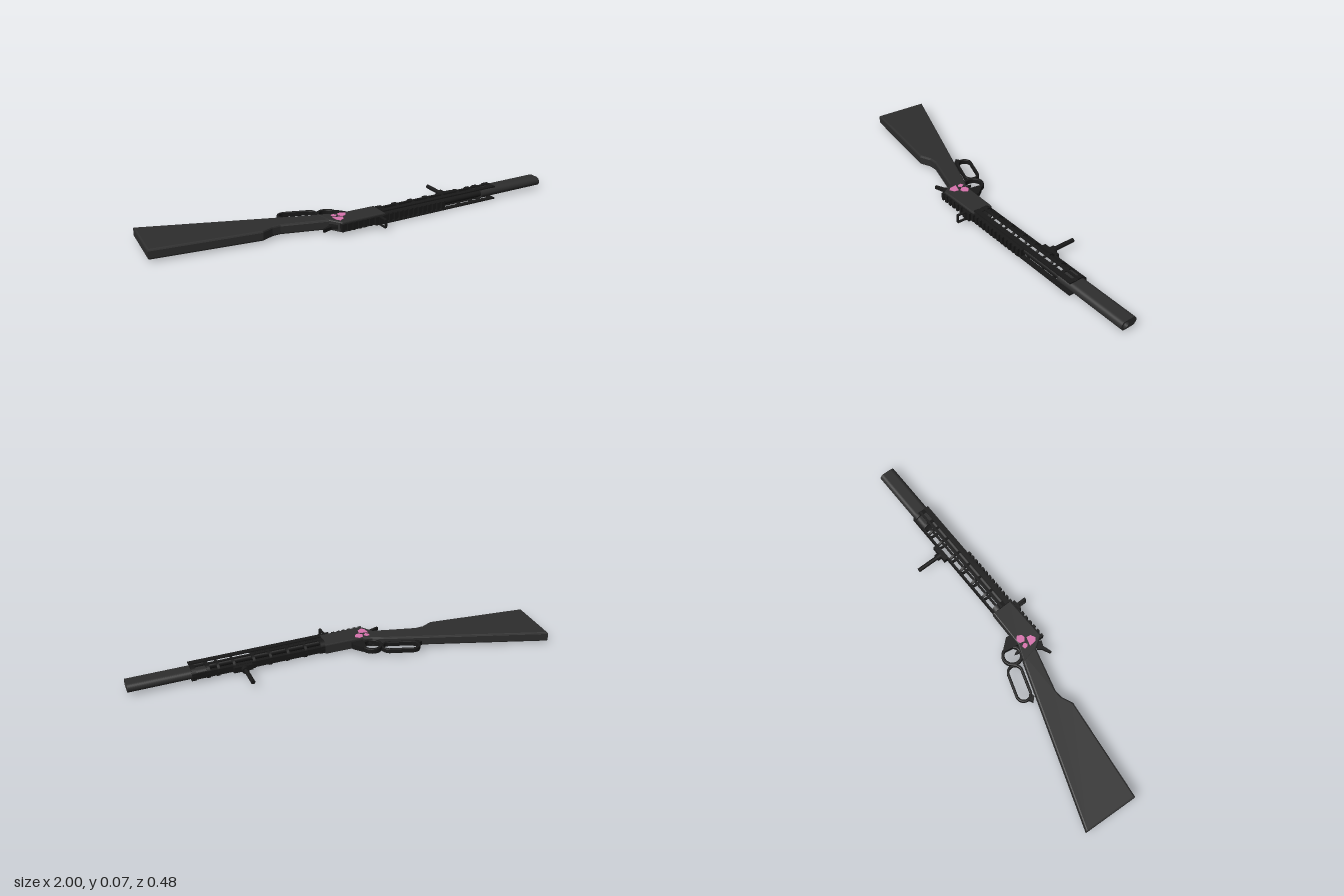
import * as THREE from 'three';

const mat = (name, color, side = THREE.FrontSide) => {
  const m = new THREE.MeshStandardMaterial({ color, side });
  m.name = name;
  return m;
};
const MID = 0.0335; // height of the centre plane of the rifle lying on its side

export function createModel() {
  const root = new THREE.Group();
  root.name = 'leverRifle';
  const charcoal = mat('charcoal', 0x2e2e2e);
  const black = mat('black', 0x191919);
  const pink = mat('pink', 0xd873ae);

  const add = (name, geo, material, parent = root) => {
    const m = new THREE.Mesh(geo, material);
    m.name = name;
    parent.add(m);
    return m;
  };
  const group = (name) => {
    const g = new THREE.Group();
    g.name = name;
    root.add(g);
    return g;
  };
  const poly = (pts) => new THREE.Shape(pts.map(([a, b]) => new THREE.Vector2(a, b)));
  const circle = (x, y, r, C = THREE.Shape) => {
    const s = new C();
    s.absarc(x, y, r, 0, Math.PI * 2, false);
    return s;
  };
  // Stadium outline around the segment a-b
  const stadium = (a, b, r, C = THREE.Shape) => {
    const t = Math.atan2(b[1] - a[1], b[0] - a[0]), h = Math.PI / 2, s = new C();
    s.absarc(b[0], b[1], r, t - h, t + h, false);
    s.absarc(a[0], a[1], r, t + h, t + 3 * h, false);
    s.closePath();
    return s;
  };
  // Side profile (x, z) with thickness along y
  const slab = (shape, thick, bevel = 0, y = MID) => {
    const g = new THREE.ExtrudeGeometry(shape, {
      depth: thick - 2 * bevel, bevelEnabled: bevel > 0, bevelThickness: bevel,
      bevelSize: bevel, bevelOffset: -bevel, bevelSegments: 2, curveSegments: 16,
    });
    g.translate(0, 0, -(thick - 2 * bevel) / 2);
    return g.rotateX(Math.PI / 2).translate(0, y, 0);
  };
  // Cross-section (z, y) swept along x from x0 to x1
  const sweep = (shape, x0, x1) => new THREE.ExtrudeGeometry(shape, {
    depth: x1 - x0, bevelEnabled: false, curveSegments: 14,
  }).rotateY(-Math.PI / 2).translate(x1, 0, 0);
  const box = (x0, x1, y0, y1, z0, z1) => new THREE.BoxGeometry(x1 - x0, y1 - y0, z1 - z0)
    .translate((x0 + x1) / 2, (y0 + y1) / 2, (z0 + z1) / 2);

  // Butt stock and receiver
  add('stock', slab(poly([[-0.983, -0.24], [-0.22, 0.03], [-0.17, 0.05], [-0.17, 0.128],
    [-0.41, 0.062], [-0.45, 0.064], [-0.505, 0.088], [-1, 0.027]]), 0.048, 0.008), charcoal);
  add('receiver', slab(poly([[-0.215, 0.035], [-0.13, 0.068], [0.065, 0.072], [0.065, 0.175],
    [-0.16, 0.178], [-0.198, 0.12]]), 0.05, 0.005), charcoal);
  add('hammer', slab(poly([[-0.2, 0.125], [-0.17, 0.15], [-0.18, 0.17], [-0.205, 0.158],
    [-0.25, 0.172], [-0.252, 0.162], [-0.215, 0.145]]), 0.016), black);

  // Pink inlay on the upper side of the receiver
  const inlay = group('inlay');
  [
    [[-0.172, 0.105], [-0.15, 0.112], [-0.128, 0.118], [-0.132, 0.14], [-0.155, 0.152], [-0.168, 0.14]],
    [[-0.168, 0.078], [-0.152, 0.074], [-0.142, 0.09], [-0.155, 0.102], [-0.166, 0.094]],
    [[-0.132, 0.076], [-0.112, 0.072], [-0.094, 0.088], [-0.106, 0.108], [-0.122, 0.112], [-0.138, 0.098]],
  ].forEach((p) => add('inlayPatch', slab(poly(p), 0.003, 0, 0.059), pink, inlay));

  // Lever: finger loop, trigger ring and pivot lug
  const lever = group('lever');
  const a = [-0.33, -0.061], b = [-0.225, -0.026];
  const loop = stadium(a, b, 0.039);
  loop.holes.push(stadium(a, b, 0.028, THREE.Path));
  add('fingerLoop', slab(loop, 0.024, 0.003), black, lever);
  const ring = circle(-0.152, 0.015, 0.051);
  ring.holes.push(circle(-0.152, 0.015, 0.037, THREE.Path));
  add('triggerRing', slab(ring, 0.026, 0.003), black, lever);
  add('pivotLug', slab(poly([[-0.118, 0.002], [-0.1, 0.004], [-0.066, 0.046], [-0.07, 0.075],
    [-0.13, 0.075]]), 0.026), black, lever);
  add('leverTip', slab(poly([[-0.388, -0.05], [-0.365, -0.062], [-0.34, -0.034], [-0.37, -0.03]]),
    0.022), black, lever);
  add('trigger', slab(poly([[-0.165, 0.06], [-0.15, 0.06], [-0.148, 0.04], [-0.156, 0.026],
    [-0.162, 0.042]]), 0.012), black, lever);

  // Muzzle shroud with open bore, and the barrel running back to the receiver
  const shroud = stadium([0.104, MID + 0.002], [0.145, MID + 0.002], 0.021);
  shroud.holes.push(circle(0.14, MID + 0.002, 0.015, THREE.Path));
  add('muzzleShroud', sweep(shroud, 0.63, 1), charcoal);
  add('barrel', new THREE.CylinderGeometry(0.0152, 0.0152, 0.9, 20)
    .rotateZ(Math.PI / 2).translate(0.5, MID + 0.002, 0.146), black);

  // Slotted handguard: U-shaped hoops joined by long bars
  const guard = group('handguard');
  const uShape = (t) => {
    const R = 0.0335, s = new THREE.Shape(), h = Math.PI / 2, zc = 0.075 + R;
    s.moveTo(0.168, MID + R);
    s.absarc(zc, MID, R, h, 3 * h, false);
    s.lineTo(0.168, MID - R);
    s.lineTo(0.168, MID - R + t);
    s.absarc(zc, MID, R - t, 3 * h, h, true);
    s.lineTo(0.168, MID + R - t);
    s.closePath();
    return s;
  };
  [[0.06, 0.085], [0.155, 0.167], [0.243, 0.255], [0.33, 0.342], [0.41, 0.422], [0.505, 0.517],
    [0.58, 0.592], [0.625, 0.64], [0.69, 0.71]]
    .forEach(([x0, x1]) => add('hoop', sweep(uShape(0.007), x0, x1), black, guard));
  for (const s of [-1, 1]) {
    for (const [z0, z1] of [[0.114, 0.125], [0.143, 0.168]]) {
      const y = MID + s * 0.0305;
      add('sideBar', box(0.06, 0.71, y - 0.003, y + 0.003, z0, z1), black, guard);
    }
  }
  add('bottomBar', box(0.06, 0.71, MID - 0.015, MID + 0.015, 0.076, 0.084), black, guard);

  // Toothed top rails
  const rail = group('topRail');
  const addRail = (x0, x1, z0, z1, z2) => {
    add('railBase', box(x0, x1, 0.018, 0.05, z0, z1), black, rail);
    const n = Math.floor((x1 - x0) / 0.026);
    for (let i = 0; i < n; i++) {
      const x = x0 + i * (x1 - x0) / n;
      add('railTooth', box(x, x + 0.014, 0.016, 0.052, z1, z2), black, rail);
    }
  };
  addRail(-0.168, 0.06, 0.17, 0.182, 0.19);
  addRail(0.06, 0.405, 0.155, 0.173, 0.184);

  // Square aperture sight
  const sight = group('sight');
  const frame = poly([[0.19, 0.013], [0.24, 0.013], [0.24, 0.055], [0.19, 0.055]]);
  frame.holes.push(new THREE.Path([[0.199, 0.017], [0.199, 0.051], [0.236, 0.051], [0.236, 0.017]]
    .map(([z, y]) => new THREE.Vector2(z, y))));
  add('sightFrame', sweep(frame, 0.023, 0.036), black, sight);
  add('sightBase', box(0.005, 0.055, 0.014, 0.054, 0.18, 0.194), black, sight);

  // Slim foregrip under the handguard
  const grip = group('foregrip');
  add('gripMount', box(0.43, 0.52, 0.02, 0.047, 0.058, 0.078), black, grip);
  add('gripCollar', new THREE.CylinderGeometry(0.017, 0.017, 0.022, 16)
    .rotateX(Math.PI / 2).translate(0.47, MID, 0.05), black, grip);
  add('gripPost', new THREE.CylinderGeometry(0.01, 0.01, 0.13, 16)
    .rotateX(Math.PI / 2).translate(0.47, MID, -0.003), black, grip);

  return root;
}
